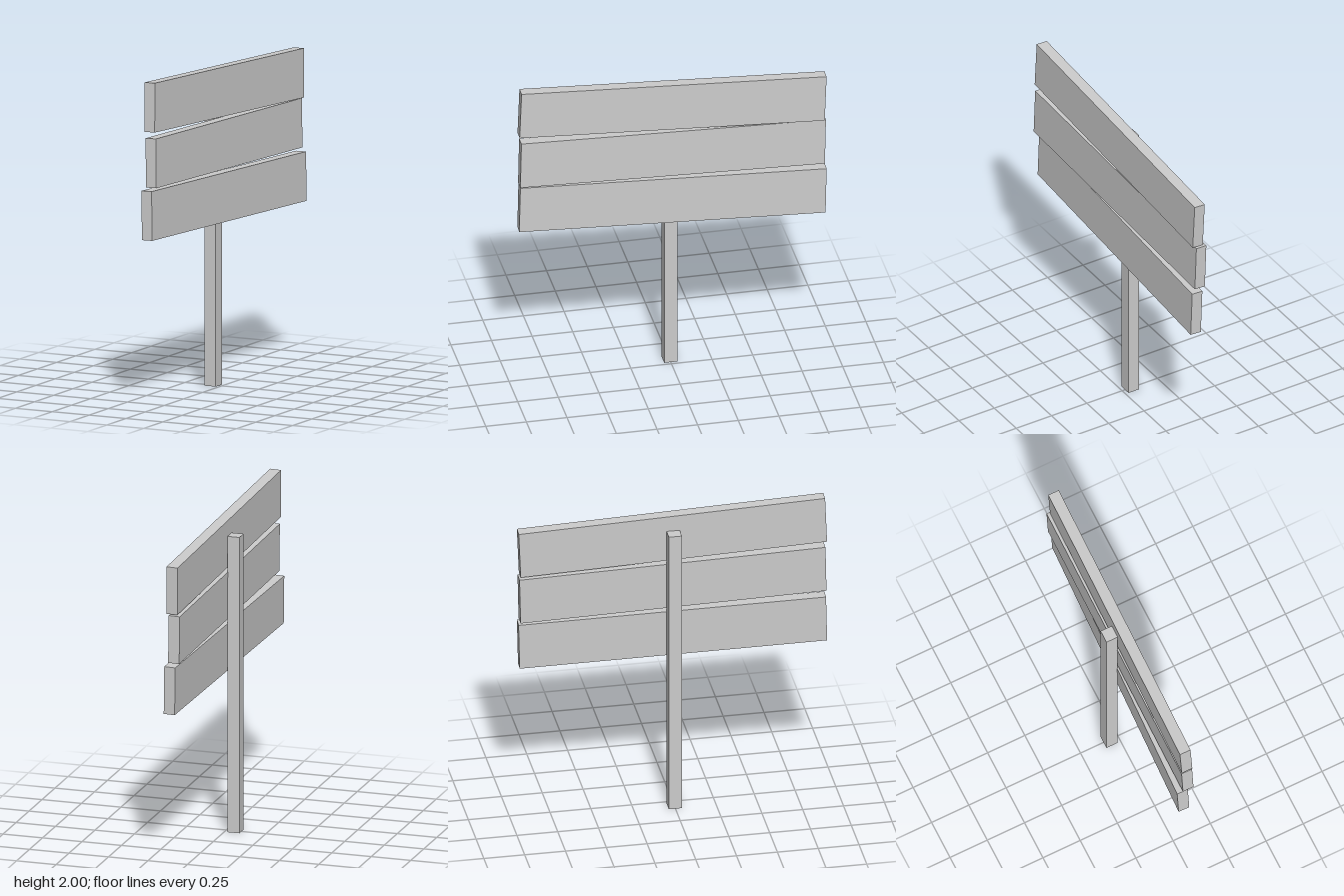
import * as THREE from 'three';

export function createModel() {
  const sign = new THREE.Group();
  sign.name = 'signpost';
  const wood = new THREE.MeshStandardMaterial({ color: 0xcccccc, flatShading: true });
  const openWood = wood.clone();
  openWood.side = THREE.DoubleSide;

  // Square post, open underneath
  const postGeometry = new THREE.BoxGeometry(0.075, 1.86, 0.08);
  const index = Array.from(postGeometry.index.array);
  index.splice(18, 6); // drop the bottom face
  postGeometry.setIndex(index);
  postGeometry.clearGroups();
  const post = new THREE.Mesh(postGeometry, openWood);
  post.name = 'post';
  post.position.set(-0.058, 0.93, 0);
  sign.add(post);

  // Three boards, each nailed on slightly crooked
  const boardGeometry = new THREE.BoxGeometry(0.07, 0.3, 1.87);
  const boards = [
    { name: 'topBoard', x: 0.017, y: 1.81, slope: -0.043, yaw: -0.022 },
    { name: 'middleBoard', x: 0.015, y: 1.487, slope: -0.025, yaw: -0.0105 },
    { name: 'bottomBoard', x: 0.015, y: 1.163, slope: -0.025, yaw: -0.041 },
  ];
  for (const { name, x, y, slope, yaw } of boards) {
    const board = new THREE.Mesh(boardGeometry, wood);
    board.name = name;
    board.position.set(x, y, 0);
    board.rotation.set(slope, yaw, 0.02);
    sign.add(board);
  }
  return sign;
}
